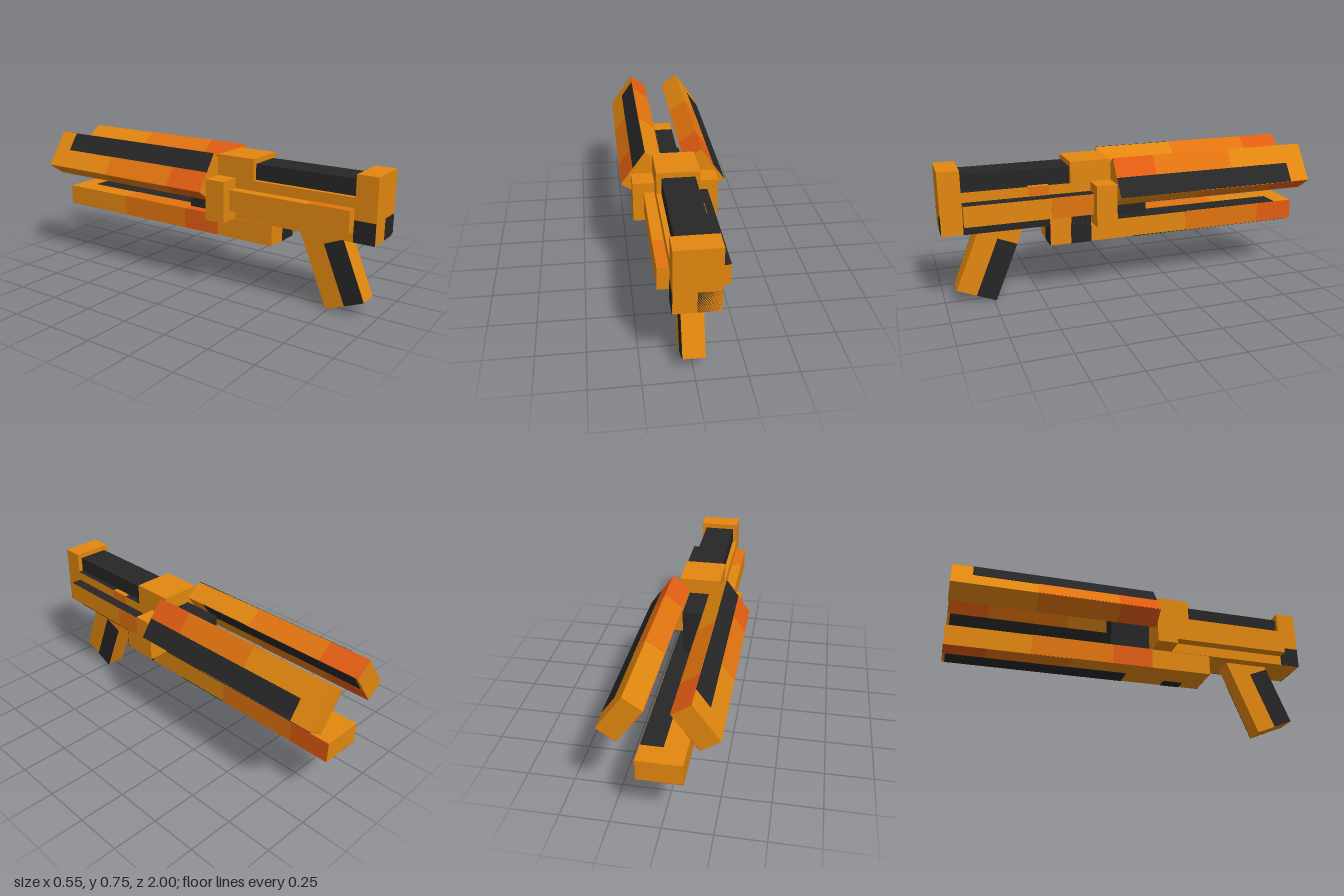
import * as THREE from 'three';

const mat = (name, color) => {
  const m = new THREE.MeshStandardMaterial({ color });
  m.name = name;
  return m;
};

export function createModel() {
  const amber = mat('amber', 0xe2870f);
  const orange = mat('orange', 0xe2740f);
  const red = mat('red orange', 0xe25c12);
  const black = mat('black', 0x262626);
  const T = 0.002; // how far painted plates stand proud

  // Box from its limits on each axis
  const box = (parent, name, m, [x0, x1], [y0, y1], [z0, z1]) => {
    const mesh = new THREE.Mesh(new THREE.BoxGeometry(x1 - x0, y1 - y0, z1 - z0), m);
    mesh.position.set((x0 + x1) / 2, (y0 + y1) / 2, (z0 + z1) / 2);
    mesh.name = name;
    parent.add(mesh);
    return mesh;
  };
  const skin = (v) => [v - T, v + T];
  const group = (parent, name) => {
    const g = new THREE.Group();
    g.name = name;
    parent.add(g);
    return g;
  };

  const model = new THREE.Group();
  model.name = 'toyBlaster';

  // Butt block with its dark corner patch
  const butt = group(model, 'butt');
  box(butt, 'buttBlock', amber, [-0.11, 0.11], [0.41, 0.742], [0.89, 1]);
  box(butt, 'buttFrontPatch', black, [0, 0.11], [0.41, 0.52], [1 - 2 * T, 1]);
  box(butt, 'buttSidePatch', black, skin(-0.11), [0.41, 0.52], [0.89, 1]);

  // Receiver: stepped body, dark upper tube, central block and shoulders
  const receiver = group(model, 'receiver');
  box(receiver, 'body', amber, [-0.11, 0.11], [0.41, 0.63], [0.33, 0.89]);
  box(receiver, 'upperTube', black, [-0.085, 0.085], [0.6, 0.714], [0.33, 0.89]);
  box(receiver, 'centralBlock', amber, [-0.11, 0.11], [0.41, 0.742], [0.11, 0.33]);
  box(receiver, 'lowerSideStripe', black, skin(0.11), [0.41, 0.466], [0.445, 0.89]);
  box(receiver, 'blockSidePatch', black, skin(0.11), [0.41, 0.466], [0.22, 0.33]);
  box(receiver, 'sidePatch', orange, skin(0.11), [0.575, 0.63], [0.445, 0.555]);
  for (const z of [[0.33, 0.445], [0.555, 0.89]])
    box(receiver, 'ledgeStripe', black, [0.085, 0.11], skin(0.63), z);
  for (const s of [-1, 1]) {
    const span = (a, b) => (s > 0 ? [a, b] : [-b, -a]);
    box(receiver, 'shoulder', amber, span(0.1, 0.222), [0.41, 0.63], [0.11, 0.222]);
    box(receiver, 'sideRail', amber, span(0.105, 0.166), [0.465, 0.576], [0.2, 0.89]);
  }
  box(receiver, 'railTopStripe', black, [0.11, 0.166], skin(0.576), [0.222, 0.89]);
  box(receiver, 'railSidePatch', orange, skin(0.166), [0.465, 0.576], [0.222, 0.445]);
  box(receiver, 'railTopPatch', orange, [-0.166, -0.11], skin(0.576), [0.67, 0.89]);

  // Colour bands: one set reddens toward the far end, the other toward the near end
  const farBands = [[orange, [-0.78, -0.33]], [red, [-1, -0.78]]];
  const nearBands = [[orange, [-0.55, -0.11]], [red, [-0.11, 0.11]]];

  // Flat barrel: a plank with banded edges and half-width dark stripes
  const barrel = (name, zFront) => {
    const g = group(model, name);
    const W = 0.11, H = 0.055;
    box(g, 'barrelPlank', amber, [-W, W], [-H, H], [-1, zFront]);
    for (const [m, z] of farBands) {
      box(g, 'edgeBand', m, skin(W), [-H, H], z);
      box(g, 'undersideBand', m, [-W, 0], skin(-H), z);
    }
    for (const [m, z] of nearBands) {
      box(g, 'edgeBand', m, skin(-W), [-H, H], z);
      box(g, 'topBand', m, [-W, 0], skin(H), z);
    }
    box(g, 'topStripe', black, [0, W], skin(H), [-0.89, 0.11]);
    box(g, 'undersideStripe', black, [0, W], skin(-H), [-0.985, -0.01]);
    return g;
  };

  const lower = barrel('lowerBarrel', 0.445);
  lower.position.y = 0.354;
  box(lower, 'sidePatch', black, skin(0.11), [-0.055, 0.055], [0.222, 0.333]);
  box(lower, 'undersidePatch', black, [0.045, 0.11], skin(-0.055), [0.222, 0.333]);
  box(lower, 'frontPatch', black, [0, 0.11], [-0.055, 0.055], skin(0.445));

  // Two upper barrels leaning together like a roof
  for (const s of [-1, 1]) {
    const upper = barrel(s < 0 ? 'rightUpperBarrel' : 'leftUpperBarrel', 0.111);
    upper.position.set(s * 0.1665, 0.6305, 0);
    upper.rotation.z = -s * 0.956;
  }

  // Dark core between the barrels
  box(model, 'barrelCore', black, [-0.056, 0.056], [0.4, 0.66], [-0.11, 0.12]);

  // Raked grip with a dark half on each side
  const grip = group(model, 'grip');
  grip.position.set(0, 0.047, 0.84);
  grip.rotation.x = -0.39;
  box(grip, 'gripBlock', amber, [-0.055, 0.055], [0, 0.44], [-0.11, 0.11]);
  box(grip, 'leftGripPatch', black, skin(0.055), [0, 0.33], [-0.11, 0]);
  box(grip, 'rightGripPatch', black, skin(-0.055), [0, 0.33], [0, 0.11]);

  return model;
}
